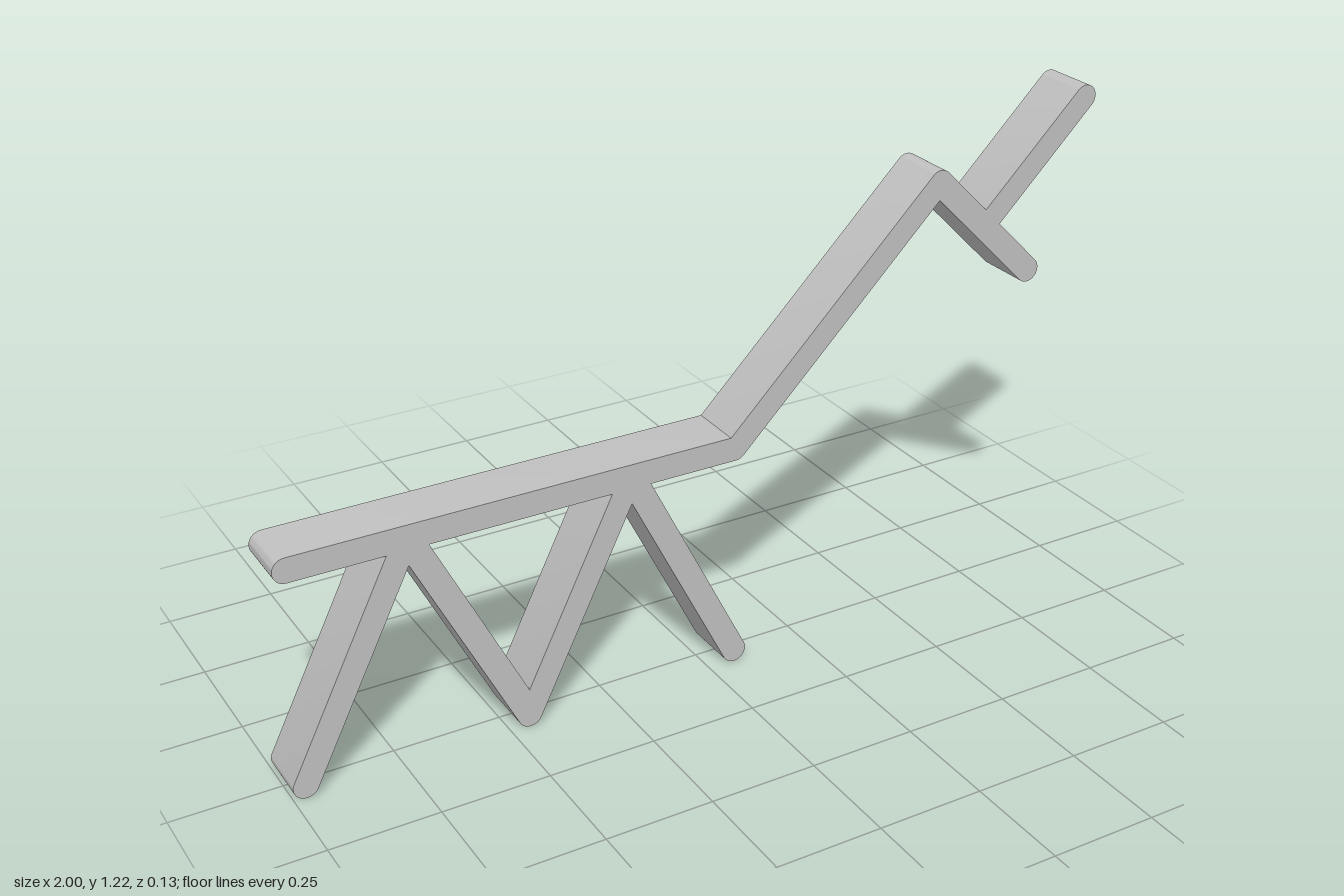
import * as THREE from 'three';
import { toCreasedNormals } from 'three/addons/utils/BufferGeometryUtils.js';

const RADIUS = 0.029;
const DEPTH = 0.13;

// Flat bar with rounded ends running between two points in the xy plane
function bar(name, [x1, y1], [x2, y2], material) {
  const length = Math.hypot(x2 - x1, y2 - y1);
  const shape = new THREE.Shape();
  shape.moveTo(0, -RADIUS);
  shape.lineTo(length, -RADIUS);
  shape.absarc(length, 0, RADIUS, -Math.PI / 2, Math.PI / 2, false);
  shape.lineTo(0, RADIUS);
  shape.absarc(0, 0, RADIUS, Math.PI / 2, Math.PI * 1.5, false);
  const geometry = new THREE.ExtrudeGeometry(shape, { depth: DEPTH, bevelEnabled: false, curveSegments: 12 });
  geometry.translate(0, 0, -DEPTH / 2);
  const mesh = new THREE.Mesh(toCreasedNormals(geometry, 0.5), material);
  mesh.name = name;
  mesh.position.set(x1, y1, 0);
  mesh.rotation.z = Math.atan2(y2 - y1, x2 - x1);
  return mesh;
}

export function createModel() {
  const grey = new THREE.MeshStandardMaterial({ color: 0xbfbfbf });
  grey.name = 'grey';
  const model = new THREE.Group();
  model.name = 'stickAnimal';

  const backY = 0.549, footY = 0.031, step = 0.2588;
  const rear = [-0.971, backY];
  const shoulder = [0.064, backY];
  const crown = [0.582, 1.067];
  const snout = [0.841, 0.808];
  const brow = [0.711, 0.938];
  const hornTip = [0.971, 1.197];

  // Back, neck, head and horn
  model.add(
    bar('back', rear, shoulder, grey),
    bar('neck', shoulder, crown, grey),
    bar('head', crown, snout, grey),
    bar('horn', brow, hornTip, grey)
  );

  // Zigzag of four legs
  const legs = new THREE.Group();
  legs.name = 'legs';
  for (let i = 0; i < 4; i++) {
    const hipX = rear[0] + step * (i < 2 ? 1 : 3);
    const footX = rear[0] + step * (i % 2 ? i + 1 : i);
    legs.add(bar('leg' + (i + 1), [footX, footY], [hipX, backY], grey));
  }
  model.add(legs);

  // Rest the feet exactly on the ground
  model.position.y = RADIUS - footY;
  return model;
}
